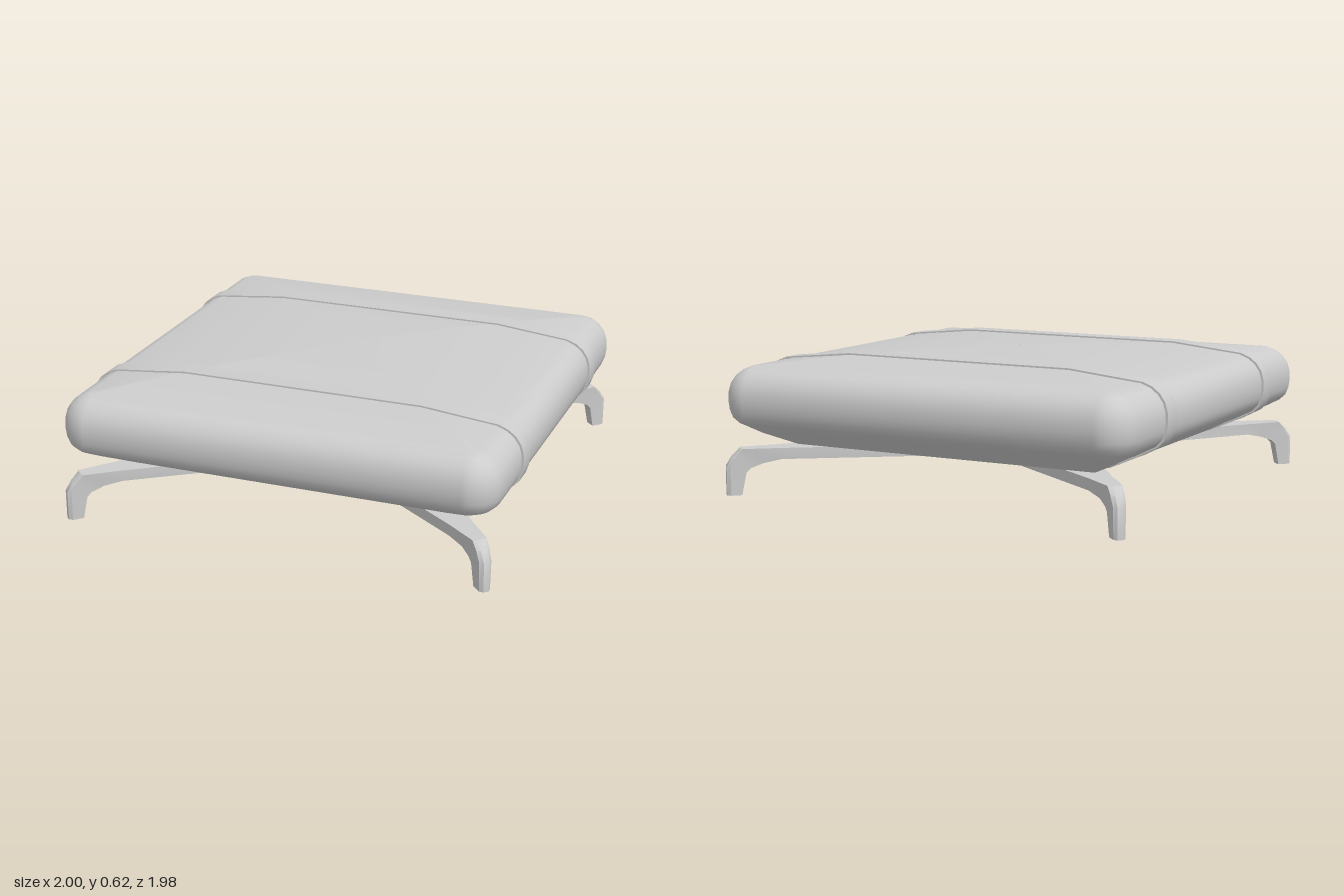
import * as THREE from 'three';
import { toCreasedNormals } from 'three/addons/utils/BufferGeometryUtils.js';

// Joins a list of cross-sections (equal-length point lists) into one surface
function loft(sections, closed) {
  const n = sections[0].length, index = [];
  const last = closed ? n : n - 1;
  for (let i = 0; i < sections.length - 1; i++) {
    for (let j = 0; j < last; j++) {
      const k = (j + 1) % n;
      const a = i * n + j, b = i * n + k, c = a + n, d = b + n;
      index.push(a, c, b, b, c, d);
    }
  }
  const geo = new THREE.BufferGeometry();
  geo.setAttribute('position', new THREE.Float32BufferAttribute(sections.flat(2), 3));
  geo.setIndex(index);
  geo.computeVertexNormals();
  return geo;
}

// Rounded square outline of half-width h at height y
function roundedSquare(h, y) {
  const r = Math.max(h - 0.85, h * 0.02), steps = 8, pts = [];
  for (let q = 0; q < 4; q++) {
    const mid = Math.PI / 4 + q * Math.PI / 2;
    const cx = Math.sign(Math.cos(mid)) * (h - r), cz = Math.sign(Math.sin(mid)) * (h - r);
    for (let s = 0; s <= steps; s++) {
      const a = (q + s / steps) * Math.PI / 2;
      pts.push([cx + r * Math.cos(a), y, cz + r * Math.sin(a)]);
    }
  }
  return pts;
}

export function createModel() {
  const group = new THREE.Group();
  const grey = new THREE.MeshStandardMaterial({ color: 0xcccccc, side: THREE.DoubleSide });
  grey.name = 'lightGrey';
  const add = (geo, name, parent = group) => {
    const mesh = new THREE.Mesh(geo, grey);
    mesh.name = name;
    parent.add(mesh);
    return mesh;
  };

  // Hollow cushion shell, open underneath: half-width and height from bottom to crown
  const profile = [
    [0.74, 0.215], [0.85, 0.272], [0.945, 0.322], [0.972, 0.347], [0.985, 0.38], [0.99, 0.42],
    [0.988, 0.46], [0.977, 0.498], [0.955, 0.53], [0.925, 0.555], [0.88, 0.573],
    [0.7, 0.592], [0.5, 0.61], [0.3, 0.619], [0.12, 0.625], [0.002, 0.625],
  ];
  add(loft(profile.map(([h, y]) => roundedSquare(h, y)), true), 'cushion');

  // Two bands wrapped around the cushion
  const half = [
    [0.74, 0.211], [0.86, 0.264], [0.955, 0.313], [0.982, 0.342], [0.995, 0.38], [1.0, 0.42],
    [0.998, 0.462], [0.987, 0.503], [0.963, 0.538], [0.93, 0.564], [0.885, 0.582],
    [0.7, 0.601], [0.55, 0.617],
  ];
  const loop = [...half, ...half.map(([x, y]) => [-x, y]).reverse()];
  const outline = (sx, sy) => loop.map(([x, y]) => new THREE.Vector2(x * sx, 0.414 + (y - 0.414) * sy));
  const bandShape = new THREE.Shape(outline(1, 1));
  bandShape.holes.push(new THREE.Path(outline(0.99, 0.965)));
  const bandGeo = toCreasedNormals(
    new THREE.ExtrudeGeometry(bandShape, { depth: 0.095, bevelEnabled: false }), 0.6);
  for (const z of [-0.595, 0.5]) add(bandGeo, 'band').position.z = z;

  // Star base: [top reach, top y, lower reach, lower y, half-width, outer bulge]
  const base = new THREE.Group();
  base.name = 'starBase';
  group.add(base);
  const stations = [
    [0.205, 0.208, 0.205, 0.158, 0.205, 0],
    [1.12, 0.208, 1.12, 0.158, 0.052, 0],
    [1.29, 0.208, 1.2, 0.14, 0.032, 0.005],
    [1.32, 0.175, 1.255, 0.12, 0.03, 0.012],
    [1.345, 0.13, 1.275, 0.1, 0.028, 0.015],
    [1.345, 0, 1.295, 0, 0.025, 0.015],
  ];
  const section = ([dt, yt, db, yb, w, bulge]) => [
    [db, yb, -w], [dt, yt, -w], [dt + bulge, yt, -w / 2],
    [dt + bulge, yt, w / 2], [dt, yt, w], [db, yb, w],
  ];
  const channelGeo = toCreasedNormals(loft(stations.map(section).reverse(), false), 0.6);
  // Inner face and sole that close the foot
  const inner = stations.slice(2).map(([, , d, y, w]) => [[d, y, -w], [d, y, w]]);
  const foot = stations[5];
  inner.push([[foot[0], 0, -foot[4]], [foot[0], 0, foot[4]]]);
  const innerGeo = toCreasedNormals(loft(inner.reverse().map((s) => s.reverse()), false), 0.6);
  for (let i = 0; i < 4; i++) {
    const leg = new THREE.Group();
    leg.name = 'leg';
    leg.rotation.y = Math.PI / 4 + i * Math.PI / 2;
    base.add(leg);
    add(channelGeo, 'legChannel', leg);
    add(innerGeo, 'footInner', leg);
  }

  // Flat centre of the star
  const hub = add(new THREE.PlaneGeometry(0.41, 0.41), 'hubPlate', base);
  hub.rotation.set(-Math.PI / 2, 0, Math.PI / 4);
  hub.position.y = 0.208;

  return group;
}
